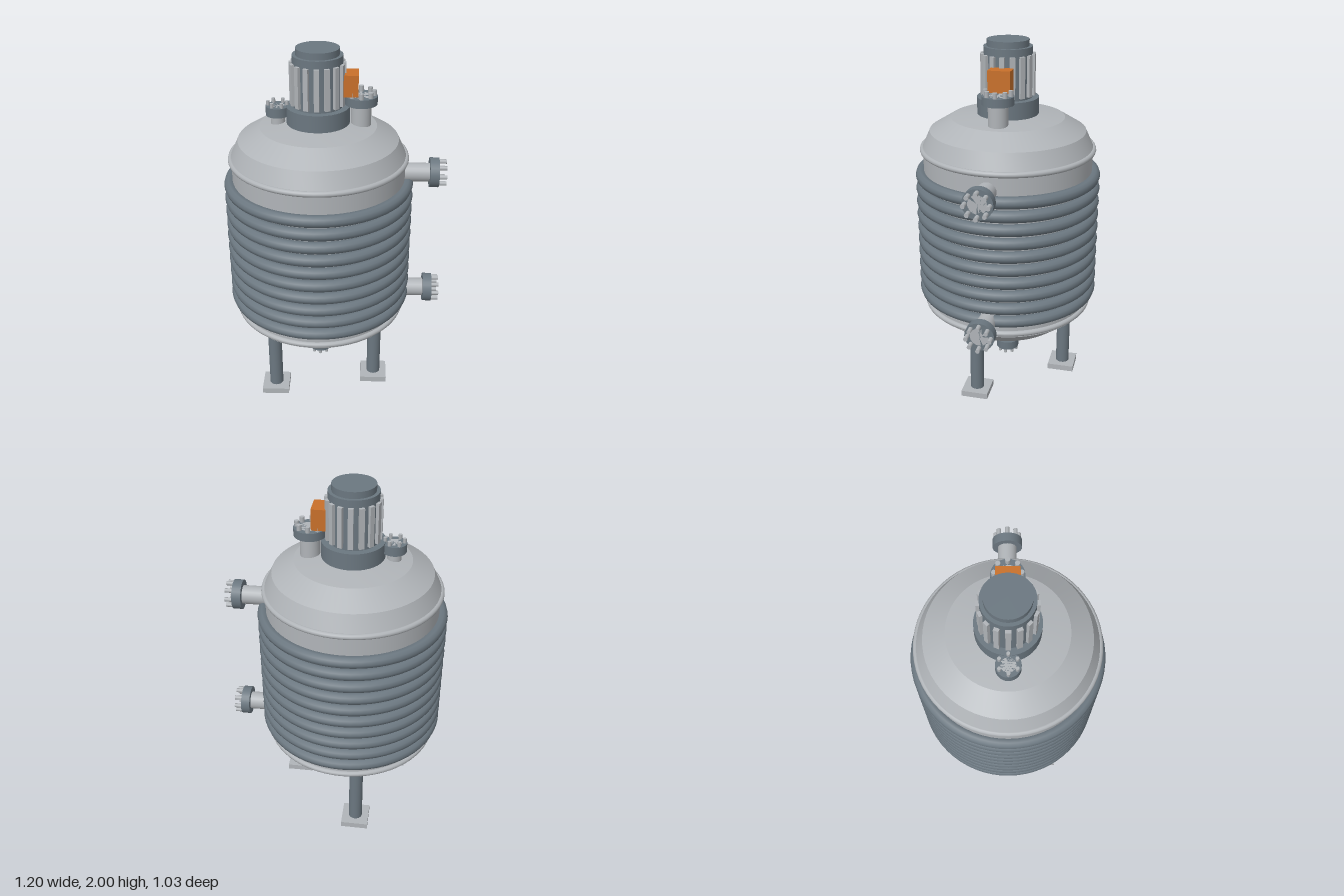
import * as THREE from 'three';
import { toCreasedNormals } from 'three/addons/utils/BufferGeometryUtils.js';

const mat = (name, color) => new THREE.MeshStandardMaterial({ name, color });

export function createModel() {
  const steel = mat('light steel', 0xb0b4b8);
  const dark = mat('dark steel', 0x6b7780);
  const orange = mat('orange', 0xc8702a);

  const model = new THREE.Group();
  model.name = 'jacketedReactor';

  // Everything but the side nozzles is arranged around the vessel axis
  const vessel = new THREE.Group();
  vessel.name = 'vessel';
  vessel.position.x = -0.09;
  model.add(vessel);

  const add = (parent, name, geometry, material, x = 0, y = 0, z = 0) => {
    const mesh = new THREE.Mesh(geometry, material);
    mesh.name = name;
    mesh.position.set(x, y, z);
    parent.add(mesh);
    return mesh;
  };
  const cylinder = (parent, name, r, y0, y1, material, x = 0, z = 0, sides = 32) =>
    add(parent, name, new THREE.CylinderGeometry(r, r, y1 - y0, sides), material, x, (y0 + y1) / 2, z);
  const ring = (name, radius, tube, y, material) => {
    const mesh = add(vessel, name, new THREE.TorusGeometry(radius, tube, 10, 64), material, 0, y, 0);
    mesh.rotation.x = Math.PI / 2;
  };

  // Shell with dished top and bottom heads
  const profile = [
    [0, 0.305], [0.21, 0.32], [0.34, 0.367], [0.468, 0.47], [0.468, 1.425],
    [0.428, 1.513], [0.31, 1.585], [0, 1.625],
  ].map(([r, y]) => new THREE.Vector2(r, y));
  add(vessel, 'shell', toCreasedNormals(new THREE.LatheGeometry(profile, 64), 0.2), steel);

  // Weld rings and heating coils
  ring('lowerSeam', 0.47, 0.016, 0.495, steel);
  ring('upperSeam', 0.47, 0.016, 1.41, steel);
  for (let i = 0; i < 10; i++) ring('coil', 0.481, 0.033, 0.578 + i * 0.0764, dark);

  // Three legs with square feet
  for (let i = 0; i < 3; i++) {
    const a = THREE.MathUtils.degToRad(18 + i * 120);
    const x = 0.34 * Math.cos(a), z = 0.34 * Math.sin(a);
    cylinder(vessel, 'leg', 0.039, 0.03, 0.4, dark, x, z, 20);
    add(vessel, 'foot', new THREE.BoxGeometry(0.154, 0.034, 0.154), steel, x, 0.017, z);
  }

  // Pipe along +y ending in a bolted flange
  function nozzle(name, pipeR, flangeR, length, thick, boltLength, bolts) {
    const g = new THREE.Group();
    g.name = name;
    cylinder(g, 'pipe', pipeR, 0, length, steel, 0, 0, 24);
    cylinder(g, 'flange', flangeR, length - thick, length, dark, 0, 0, 28);
    for (let i = 0; i < bolts; i++) {
      const a = (i / bolts) * Math.PI * 2, r = flangeR * 0.79;
      cylinder(g, 'bolt', flangeR * 0.15, length - thick / 2, length + boltLength, steel,
        r * Math.cos(a), r * Math.sin(a), 8);
    }
    return g;
  }
  for (const y of [0.573, 1.316]) {
    const side = nozzle('sideNozzle', 0.051, 0.081, 0.16, 0.05, 0.04, 8);
    side.rotation.z = -Math.PI / 2;
    side.position.set(0.4, y, 0);
    side.children[0].scale.y = 1.25;
    side.children[0].position.y = 0.06;
    model.add(side);
  }
  const inlet = nozzle('topInlet', 0.053, 0.085, 0.175, 0.045, 0.03, 8);
  inlet.position.set(0.225, 1.575, 0);
  const vent = nozzle('topVent', 0.038, 0.063, 0.115, 0.05, 0.025, 6);
  vent.position.set(-0.212, 1.575, 0);
  const drain = nozzle('bottomDrain', 0.042, 0.066, 0.2, 0.05, 0.023, 8);
  drain.rotation.x = Math.PI;
  drain.position.y = 0.333;
  vessel.add(inlet, vent, drain);

  // Agitator motor with cooling fins and stepped cap
  const motor = new THREE.Group();
  motor.name = 'motor';
  vessel.add(motor);
  cylinder(motor, 'motorBase', 0.167, 1.6, 1.695, dark, 0, 0, 40);
  cylinder(motor, 'motorBody', 0.131, 1.69, 1.965, dark, 0, 0, 40);
  cylinder(motor, 'motorCap', 0.113, 1.96, 2, dark, 0, 0, 40);
  for (let i = 0; i < 16; i++) {
    const a = (i / 16) * Math.PI * 2;
    const fin = add(motor, 'fin', new THREE.BoxGeometry(0.04, 0.218, 0.027), steel,
      0.127 * Math.cos(a), 1.817, 0.127 * Math.sin(a));
    fin.rotation.y = -a;
  }
  add(motor, 'terminalBox', new THREE.BoxGeometry(0.08, 0.115, 0.12), orange, 0.17, 1.815, 0);

  return model;
}
